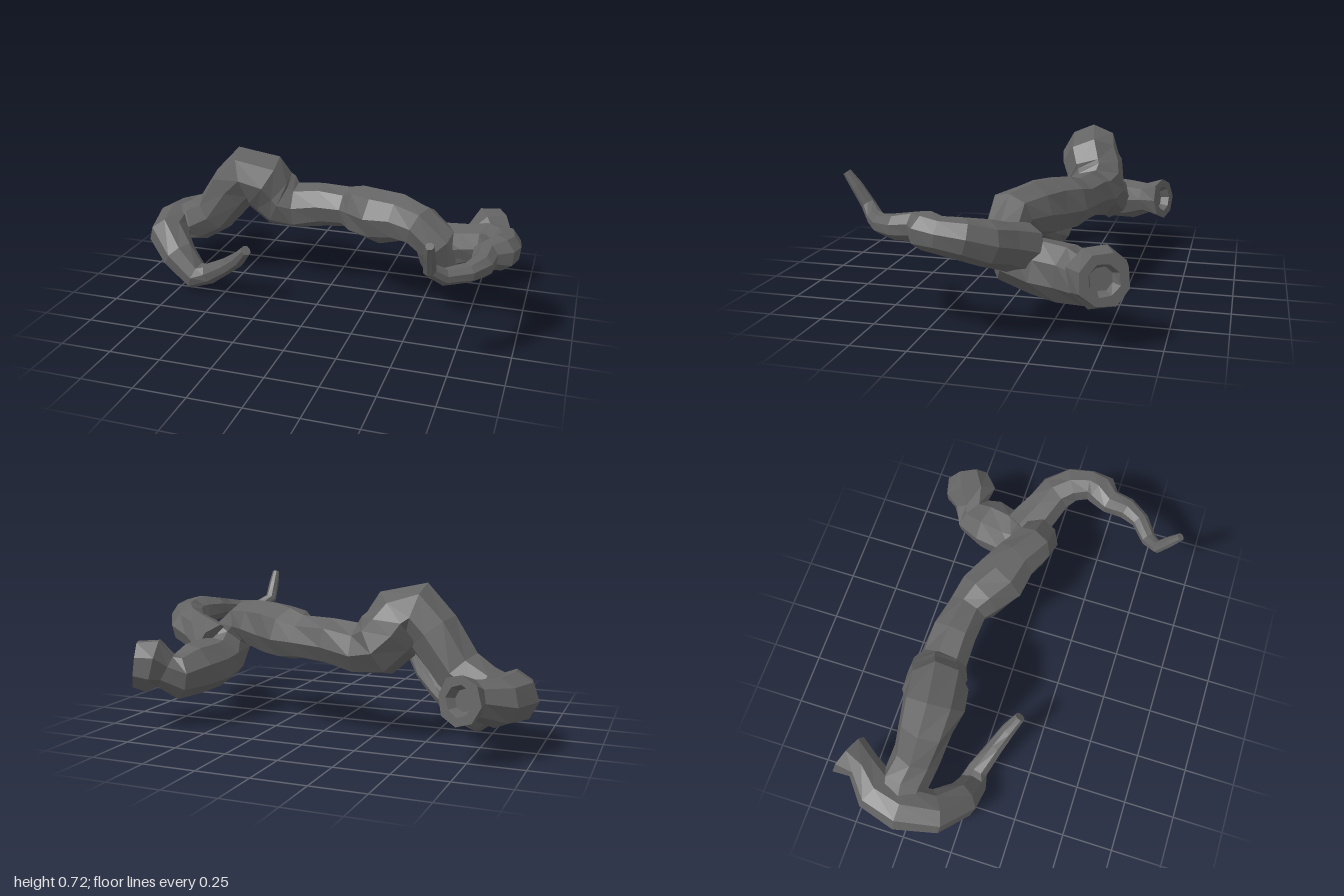
import * as THREE from 'three';

const SIDES = 8;

// Faceted limb swept through [x, y, z, radius] sections; a hollow end gets a rim and a recess.
function limb(name, sections, material, hollow = false) {
  const pts = sections.map(s => new THREE.Vector3(s[0], s[1], s[2]));
  const last = pts.length - 1;
  const tangents = pts.map((p, i) =>
    pts[Math.min(i + 1, last)].clone().sub(pts[Math.max(i - 1, 0)]).normalize());

  const rings = pts.map((p, i) => ({ p, t: tangents[i], r: sections[i][3] * 1.04 }));
  const end = rings[last];
  const start = rings[0];
  rings.unshift({ p: start.p, t: start.t, r: 0 });
  if (hollow) {
    const deep = end.p.clone().addScaledVector(end.t, -0.04);
    rings.push({ p: end.p, t: end.t, r: end.r * 0.62 });
    rings.push({ p: deep, t: end.t, r: end.r * 0.45 });
    rings.push({ p: deep, t: end.t, r: 0 });
  } else {
    rings.push({ p: end.p, t: end.t, r: 0 });
  }

  // Carry the cross-section frame along the path without twisting
  const u = new THREE.Vector3(0, 1, 0).cross(start.t).normalize();
  const turn = new THREE.Quaternion();
  const position = [];
  const index = [];
  rings.forEach((ring, i) => {
    if (i > 0) u.applyQuaternion(turn.setFromUnitVectors(rings[i - 1].t, ring.t));
    const v = ring.t.clone().cross(u);
    for (let j = 0; j < SIDES; j++) {
      const a = (j / SIDES) * Math.PI * 2;
      const r = ring.r * (1 + 0.035 * Math.sin(i * 2.3 + j * 3.7)); // gnarled bark
      const q = ring.p.clone()
        .addScaledVector(u, Math.cos(a) * r)
        .addScaledVector(v, Math.sin(a) * r);
      position.push(q.x, q.y, q.z);
      if (i < rings.length - 1) {
        const k = (j + 1) % SIDES;
        const b = i * SIDES, c = b + SIDES;
        index.push(b + j, b + k, c + k, b + j, c + k, c + j);
      }
    }
  });

  const geometry = new THREE.BufferGeometry();
  geometry.setAttribute('position', new THREE.Float32BufferAttribute(position, 3));
  geometry.setIndex(index);
  geometry.computeVertexNormals();
  const mesh = new THREE.Mesh(geometry, material);
  mesh.name = name;
  return mesh;
}

export function createModel() {
  const model = new THREE.Group();
  model.name = 'fallenBranch';
  const bark = new THREE.MeshStandardMaterial({ color: 0x646464, flatShading: true });
  bark.name = 'grey bark';

  // Trunk: arched hump, long run, then a bend back into a hollow stump
  model.add(limb('trunk', [
    [-0.88, 0.25, -0.28, 0.09], [-0.77, 0.28, -0.29, 0.11], [-0.65, 0.35, -0.265, 0.11],
    [-0.53, 0.51, -0.245, 0.125], [-0.45, 0.59, -0.235, 0.14], [-0.375, 0.56, -0.25, 0.145],
    [-0.335, 0.50, -0.275, 0.14], [-0.28, 0.445, -0.29, 0.14], [-0.19, 0.425, -0.285, 0.115],
    [-0.05, 0.45, -0.28, 0.108], [0.09, 0.455, -0.26, 0.098], [0.17, 0.46, -0.225, 0.122],
    [0.28, 0.465, -0.155, 0.13], [0.40, 0.48, -0.115, 0.112], [0.50, 0.475, -0.055, 0.102],
    [0.575, 0.41, -0.05, 0.10], [0.61, 0.31, -0.11, 0.12], [0.62, 0.285, -0.21, 0.12],
    [0.65, 0.275, -0.33, 0.122], [0.685, 0.255, -0.435, 0.102], [0.725, 0.285, -0.46, 0.085],
    [0.775, 0.31, -0.48, 0.128], [0.85, 0.32, -0.52, 0.108],
  ], bark, true));

  // Bent lower arm with a hollow stub behind and a thin twig in front
  model.add(limb('lowerArm', [
    [-0.32, 0.32, 0.14, 0.025], [-0.38, 0.25, 0.10, 0.036], [-0.46, 0.185, 0.06, 0.04],
    [-0.58, 0.105, 0.005, 0.052], [-0.66, 0.08, 0.0, 0.072], [-0.76, 0.175, -0.02, 0.085],
    [-0.865, 0.24, -0.11, 0.10], [-0.89, 0.255, -0.27, 0.11], [-0.855, 0.26, -0.41, 0.102],
    [-0.77, 0.285, -0.505, 0.078], [-0.735, 0.295, -0.59, 0.105],
  ], bark, true));

  // Crooked side branch tapering to an upturned tip
  model.add(limb('sideBranch', [
    [0.63, 0.36, -0.14, 0.11], [0.75, 0.405, -0.08, 0.095], [0.845, 0.435, -0.035, 0.092],
    [0.90, 0.465, 0.04, 0.084], [0.92, 0.48, 0.13, 0.072], [0.90, 0.485, 0.19, 0.078],
    [0.85, 0.49, 0.25, 0.06], [0.845, 0.48, 0.34, 0.052], [0.80, 0.475, 0.42, 0.042],
    [0.71, 0.475, 0.49, 0.036], [0.66, 0.52, 0.54, 0.03], [0.665, 0.60, 0.59, 0.025],
    [0.67, 0.66, 0.63, 0.018],
  ], bark));

  return model;
}
